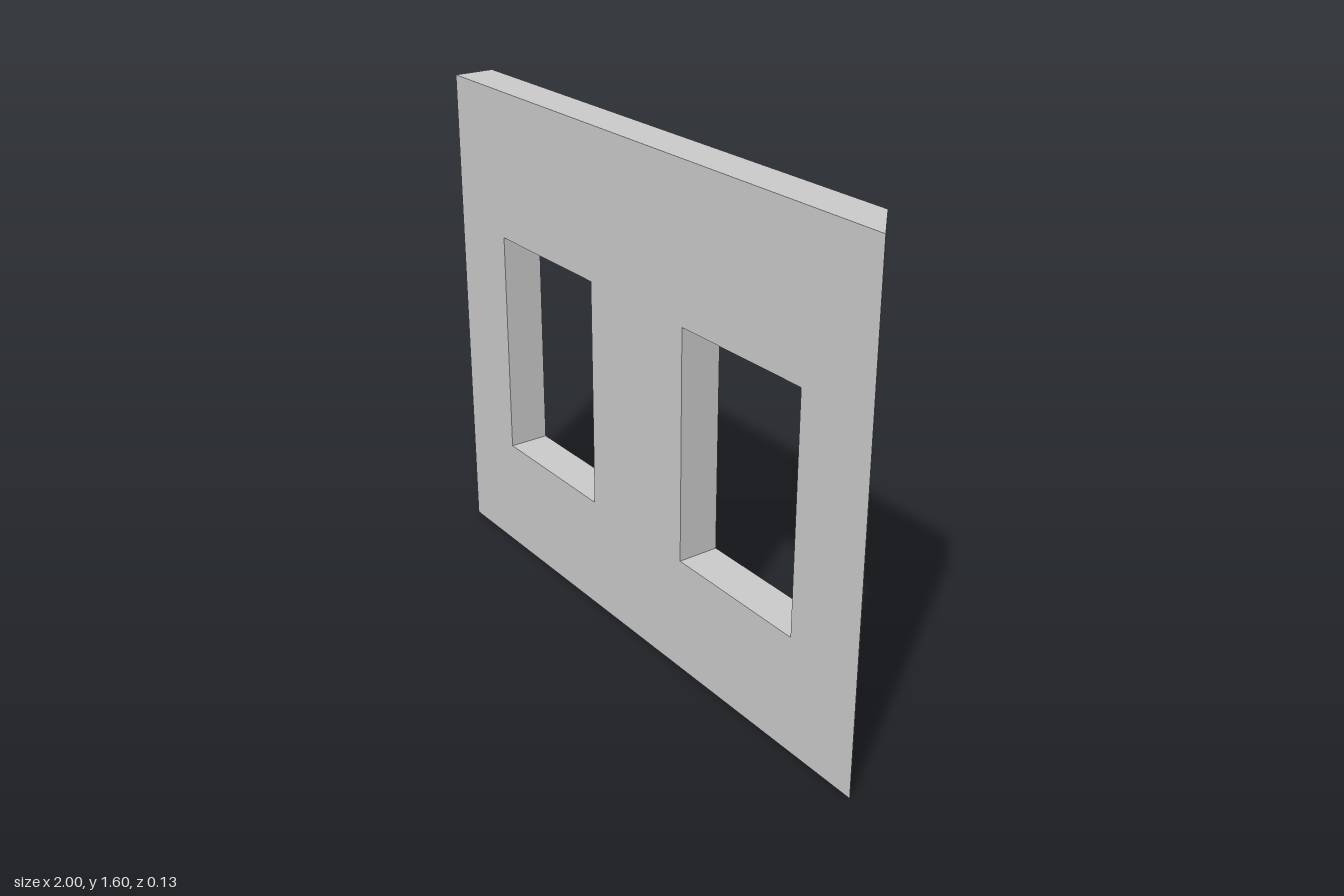
import * as THREE from 'three';

const HEIGHT = 1.6, DEPTH = 0.134;

// Closed rectangle outline from opposite corners
function rectangle(x0, y0, x1, y1) {
  return [[x0, y0], [x1, y0], [x1, y1], [x0, y1]].map(([x, y]) => new THREE.Vector2(x, y));
}

export function createModel() {
  const group = new THREE.Group();
  group.name = 'wallPanel';

  // Wall slab with two window openings
  const outline = new THREE.Shape(rectangle(-1, 0, 1, HEIGHT));
  for (const [x0, x1] of [[-0.735, -0.229], [0.227, 0.733]]) {
    outline.holes.push(new THREE.Path(rectangle(x0, 0.373, x1, 1.12)));
  }
  const geometry = new THREE.ExtrudeGeometry(outline, { depth: DEPTH, bevelEnabled: false });
  geometry.translate(0, 0, -DEPTH / 2);

  // Mitre the left end at 45 degrees by pulling in its back edge
  const position = geometry.attributes.position;
  for (let i = 0; i < position.count; i++) {
    if (position.getX(i) > 0.99 && position.getZ(i) < 0) position.setX(i, 1 - DEPTH);
  }
  geometry.computeVertexNormals();

  const wall = new THREE.Mesh(
    geometry,
    new THREE.MeshStandardMaterial({ color: 0xcccccc, flatShading: true })
  );
  wall.name = 'wallWithWindowOpenings';
  group.add(wall);
  return group;
}
